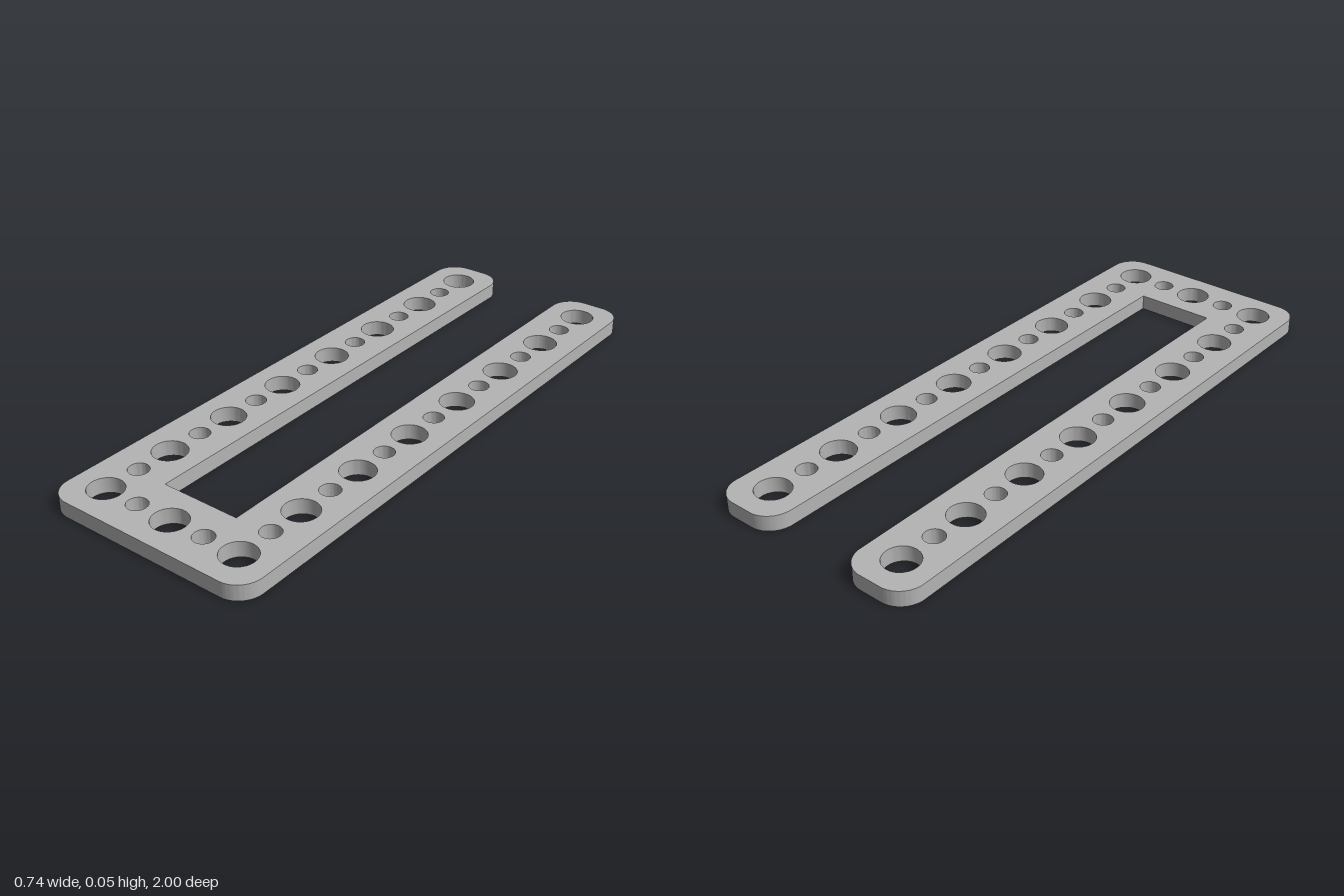
import * as THREE from 'three';
import { toCreasedNormals } from 'three/addons/utils/BufferGeometryUtils.js';

const HALF_WIDTH = 0.369, HALF_LENGTH = 1, THICKNESS = 0.051;
const ARM = 0.233, CORNER = 0.08;          // arm width and corner radius
const PITCH = 0.2525, LARGE = 0.056, SMALL = 0.033;

// U-shaped outline, drawn with +y pointing to the back (-z)
function outline() {
  const s = new THREE.Shape();
  const w = HALF_WIDTH, l = HALF_LENGTH, r = CORNER, i = HALF_WIDTH - ARM;
  const q = Math.PI / 2;
  s.moveTo(-w + r, -l);
  s.absarc(w - r, -l + r, r, -q, 0);
  s.absarc(w - r, l - r, r, 0, q);
  s.absarc(i + r, l - r, r, q, 2 * q);
  s.lineTo(i, -l + ARM);
  s.lineTo(-i, -l + ARM);
  s.absarc(-i - r, l - r, r, 0, q);
  s.absarc(-w + r, l - r, r, q, 2 * q);
  s.absarc(-w + r, -l + r, r, 2 * q, 3 * q);
  return s;
}

export function createModel() {
  const group = new THREE.Group();
  group.name = 'perforatedFrame';
  const grey = new THREE.MeshStandardMaterial({ color: 0xb4b4b4 });
  grey.name = 'plain grey';

  const shape = outline();
  const addHole = (x, y, radius) => {
    const hole = new THREE.Path();
    hole.absarc(x, y, radius, 0, Math.PI * 2, true);
    shape.holes.push(hole);
  };

  // Alternating large and small holes along both arms
  for (const x of [-PITCH, PITCH]) {
    for (let k = 0; k < 15; k++) {
      addHole(x, (k - 7) * PITCH / 2, k % 2 ? SMALL : LARGE);
    }
  }
  // Holes across the front bar
  for (const k of [-1, 0, 1]) {
    addHole(k * PITCH / 2, -3.5 * PITCH, k ? SMALL : LARGE);
  }

  const extruded = new THREE.ExtrudeGeometry(shape, {
    depth: THICKNESS, bevelEnabled: false, curveSegments: 20,
  });
  extruded.rotateX(-Math.PI / 2);
  const plate = new THREE.Mesh(toCreasedNormals(extruded, Math.PI / 5), grey);
  plate.name = 'perforatedPlate';
  group.add(plate);
  return group;
}
